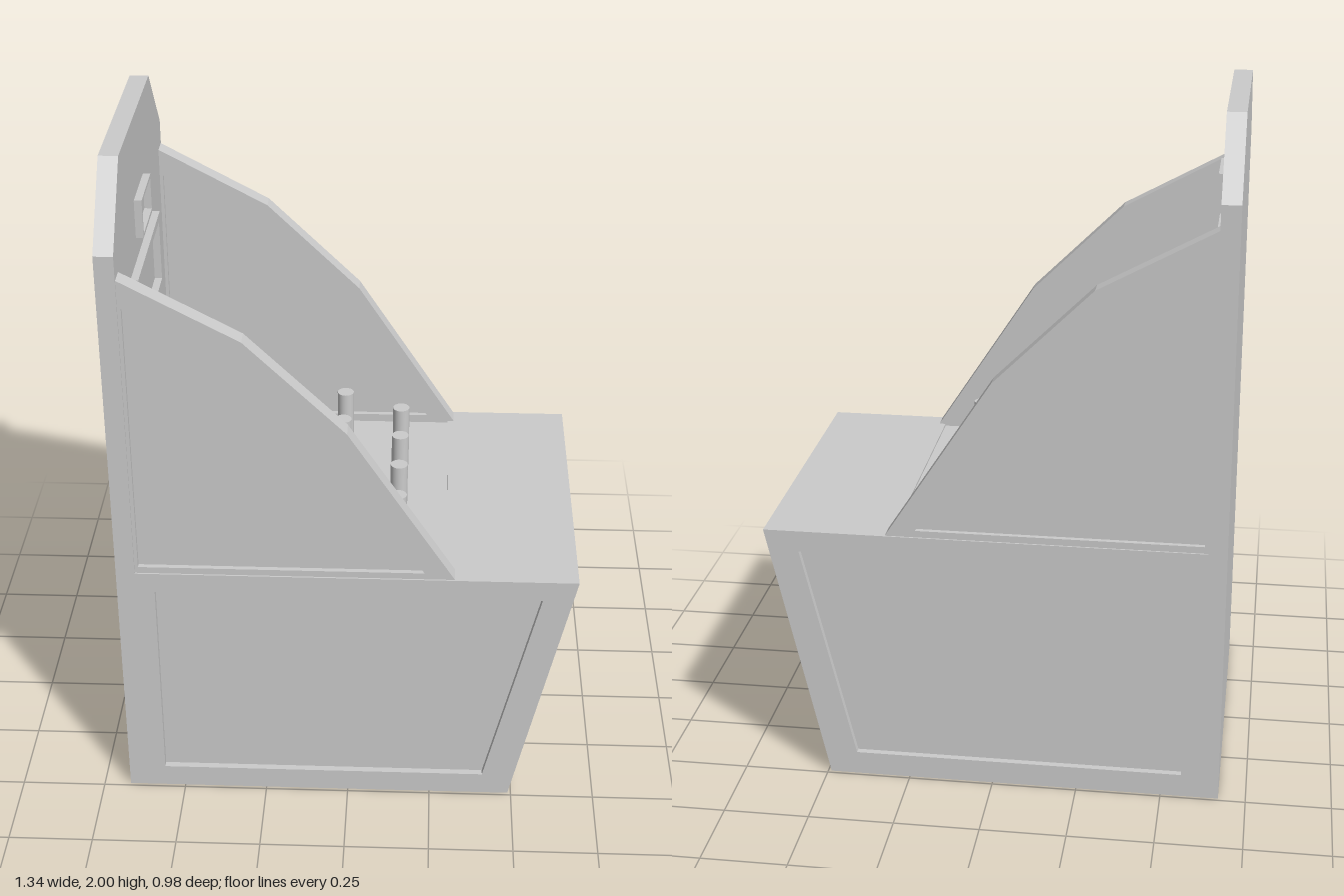
import * as THREE from 'three';

const material = new THREE.MeshStandardMaterial({ color: 0xcccccc, flatShading: true });
const smooth = new THREE.MeshStandardMaterial({ color: 0xcccccc });

// Skin a sequence of matching corner loops, closing the last (and optionally the first).
// Loops run counter-clockwise as seen from the side of the last one.
function loft(name, loops, capStart = false) {
  const pos = [];
  const tri = (...p) => p.forEach((c) => pos.push(...c));
  const n = loops[0].length;
  for (let k = 0; k + 1 < loops.length; k++) {
    const a = loops[k], b = loops[k + 1];
    for (let i = 0; i < n; i++) {
      const j = (i + 1) % n;
      tri(a[i], a[j], b[j]);
      tri(a[i], b[j], b[i]);
    }
  }
  const end = loops[loops.length - 1], start = loops[0];
  for (let i = 1; i + 1 < n; i++) {
    tri(end[0], end[i], end[i + 1]);
    if (capStart) tri(start[0], start[i + 1], start[i]);
  }
  const g = new THREE.BufferGeometry();
  g.setAttribute('position', new THREE.Float32BufferAttribute(pos, 3));
  g.computeVertexNormals();
  const mesh = new THREE.Mesh(g, material);
  mesh.name = name;
  return mesh;
}

const atZ = (pts, z) => pts.map(([x, y]) => [x, y, z]);
const shift = (loop, dx, dy, dz) => loop.map(([x, y, z]) => [x + dx, y + dy, z + dz]);
const mirrorZ = (loops) => loops.map((l) => l.map(([x, y, z]) => [x, y, -z]).reverse());

// Outline in the z/y plane, extruded along +x from x0
function extrudeX(name, shape, x0, depth) {
  const g = new THREE.ExtrudeGeometry(shape, { depth, bevelEnabled: false });
  g.rotateY(Math.PI / 2).translate(x0, 0, 0);
  const mesh = new THREE.Mesh(g, material);
  mesh.name = name;
  return mesh;
}

const rect = (Type, w, y0, y1) => new Type([[-w, y0], [w, y0], [w, y1], [-w, y1]]
  .map(([x, y]) => new THREE.Vector2(x, y)));

export function createModel() {
  const model = new THREE.Group();
  model.name = 'pegGameCabinet';
  const W = 0.49, BACK = -0.615, DECK = 0.783;

  // Backboard with clipped top corners
  const board = new THREE.Shape([[-W, 0], [W, 0], [W, 1.79], [0.308, 2], [-0.308, 2], [-W, 1.79]]
    .map(([x, y]) => new THREE.Vector2(x, y)));
  model.add(extrudeX('backboard', board, -0.67, 0.055));

  // Two raised frames on the backboard
  for (const [name, w, y0, y1, b] of [
    ['smallFrame', 0.098, 1.665, 1.78, 0.01],
    ['largeFrame', 0.237, 1.365, 1.6, 0.024],
  ]) {
    const s = rect(THREE.Shape, w, y0, y1);
    s.holes.push(rect(THREE.Path, w - b, y0 + b, y1 - b));
    model.add(extrudeX(name, s, BACK, 0.022));
  }

  // Cabinet: sunken panels on both sides, the sloping front and the deck
  const base = new THREE.Group();
  base.name = 'base';
  model.add(base);
  const sideOuter = atZ([[BACK, 0], [0.49, 0], [0.667, DECK], [BACK, DECK]], W);
  const sideInner = atZ([[-0.56, 0.07], [0.41, 0.07], [0.565, 0.72], [-0.56, 0.72]], W);
  const side = [sideOuter, sideInner, shift(sideInner, 0, 0, -0.02)];
  base.add(loft('leftSide', side), loft('rightSide', mirrorZ(side)));

  const frontLoop = (x0, y0, x1, y1, w) => [[x0, y0, w], [x0, y0, -w], [x1, y1, -w], [x1, y1, w]];
  const frontInner = frontLoop(0.513, 0.07, 0.665, 0.72, 0.405);
  base.add(loft('front', [frontLoop(0.49, 0, 0.667, DECK, W), frontInner,
    shift(frontInner, -0.03, 0.007, 0)]));

  const flat = (x0, x1, y, w) => [[x0, y, w], [x1, y, w], [x1, y, -w], [x0, y, -w]];
  const tray = flat(-0.575, 0.29, DECK, 0.43);
  base.add(loft('deck', [flat(BACK, 0.667, DECK, W), tray, shift(tray, 0, -0.006, 0)]));
  base.add(loft('underside', [flat(BACK, 0.49, 0, W).reverse()]));

  // Side wings, panelled on both faces
  const outer = [[BACK, DECK], [0.31, DECK], [0, 1.26], [-0.285, 1.54], [BACK, 1.718]];
  const inner = [[-0.605, 0.803], [0.222, 0.803], [-0.055, 1.235], [-0.3, 1.465], [-0.605, 1.635]];
  const wing = [atZ(inner, 0.445), atZ(inner, 0.43), atZ(outer, 0.43),
    atZ(outer, 0.485), atZ(inner, 0.485), atZ(inner, 0.47)];
  model.add(loft('leftWing', wing, true), loft('rightWing', mirrorZ(wing), true));

  // Staggered rows of pegs
  const pegs = new THREE.Group();
  pegs.name = 'pegs';
  model.add(pegs);
  const pegGeometry = new THREE.CylinderGeometry(0.026, 0.026, 0.155, 20);
  [[-0.43, 5], [-0.23, 4], [-0.04, 5], [0.14, 4]].forEach(([x, count]) => {
    for (let i = 0; i < count; i++) {
      const peg = new THREE.Mesh(pegGeometry, smooth);
      peg.name = 'peg';
      const z = (i - (count - 1) / 2) * 0.173 + (count === 4 ? 0.006 : -0.002);
      peg.position.set(x, 0.853, z);
      pegs.add(peg);
    }
  });

  return model;
}
